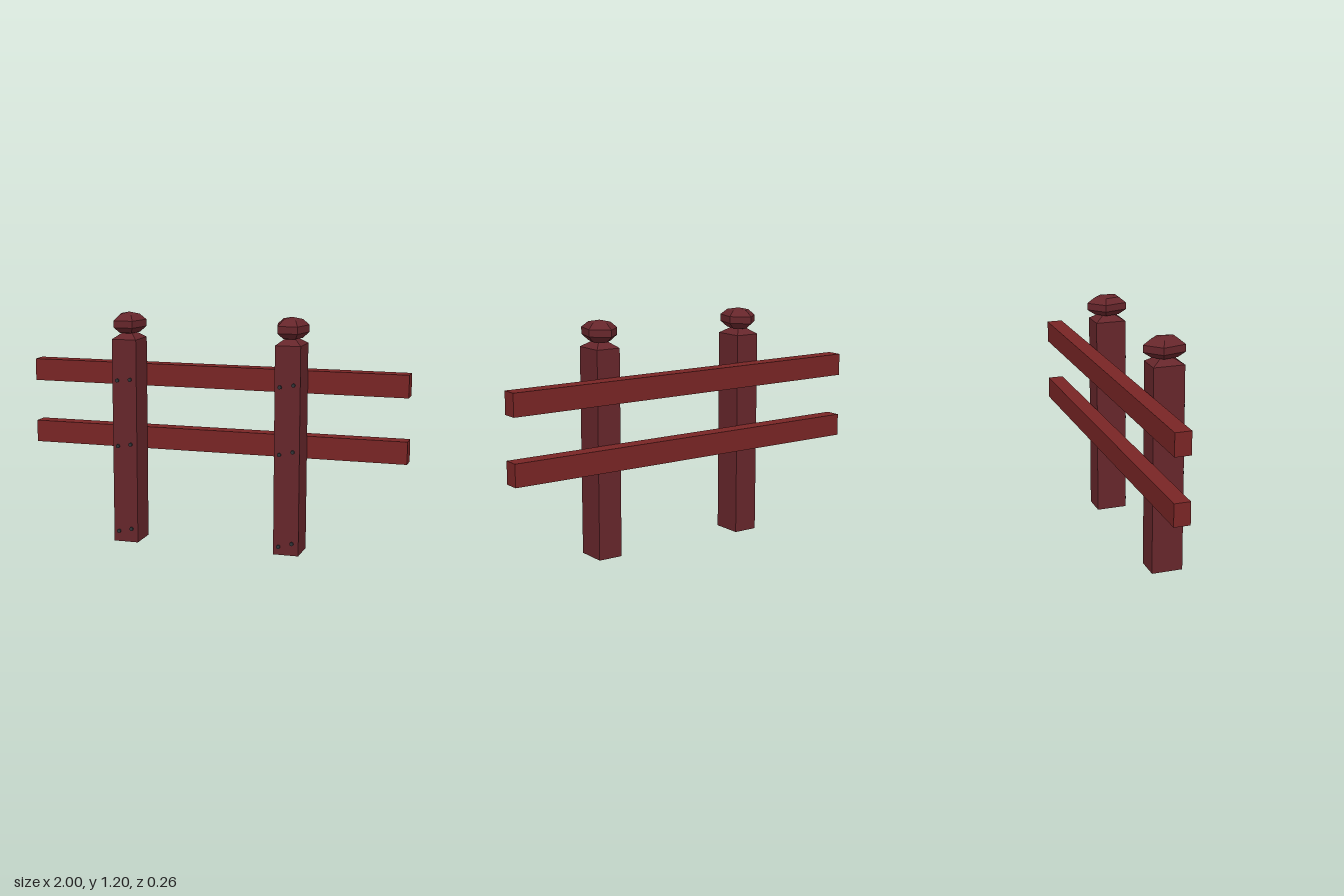
import * as THREE from 'three';

const material = (color) => new THREE.MeshStandardMaterial({ color, flatShading: true });

export function createModel() {
  const model = new THREE.Group();
  const postMat = material(0x66262b);
  const railMat = material(0x782525);
  const boltMat = material(0x303438);

  const add = (parent, name, geometry, mat, x, y, z) => {
    const mesh = new THREE.Mesh(geometry, mat);
    mesh.name = name;
    mesh.position.set(x, y, z);
    parent.add(mesh);
    return mesh;
  };

  // Two long horizontal rails behind the posts
  const railGeo = new THREE.BoxGeometry(2, 0.115, 0.082);
  add(model, 'upperRail', railGeo, railMat, 0, 0.861, -0.086);
  add(model, 'lowerRail', railGeo, railMat, 0, 0.527, -0.086);

  // Shared post parts
  const width = 0.13, depth = 0.16, height = 1.06;
  const shaftGeo = new THREE.BoxGeometry(width, height, depth);
  const capGeo = new THREE.ConeGeometry(Math.SQRT1_2, 0.05, 4, 1, true)
    .rotateY(Math.PI / 4).scale(width, 1, depth);
  // Squashed five-sided ball with a corner pointing back
  const finialGeo = new THREE.SphereGeometry(0.115, 5, 5, -Math.PI / 2).scale(0.78, 0.5, 1);
  const boltGeo = new THREE.CylinderGeometry(0.01, 0.01, 0.016, 8).rotateX(Math.PI / 2);

  // Bolt heights as [model's right column, model's left column]
  const posts = [
    { name: 'rightPost', x: -0.431, bolts: [[0.85, 0.856], [0.507, 0.519], [0.055, 0.071]] },
    { name: 'leftPost', x: 0.427, bolts: [[0.855, 0.867], [0.515, 0.532], [0.042, 0.062]] },
  ];

  for (const { name, x, bolts } of posts) {
    const post = new THREE.Group();
    post.name = name;
    post.position.set(x, 0, 0.04);
    add(post, 'shaft', shaftGeo, postMat, 0, height / 2, 0);
    add(post, 'cap', capGeo, postMat, 0, height + 0.025, 0);
    add(post, 'finial', finialGeo, postMat, 0, 1.138, 0);
    for (const row of bolts) {
      row.forEach((y, i) => add(post, 'bolt', boltGeo, boltMat, i ? 0.031 : -0.038, y, depth / 2 + 0.001));
    }
    model.add(post);
  }
  return model;
}
